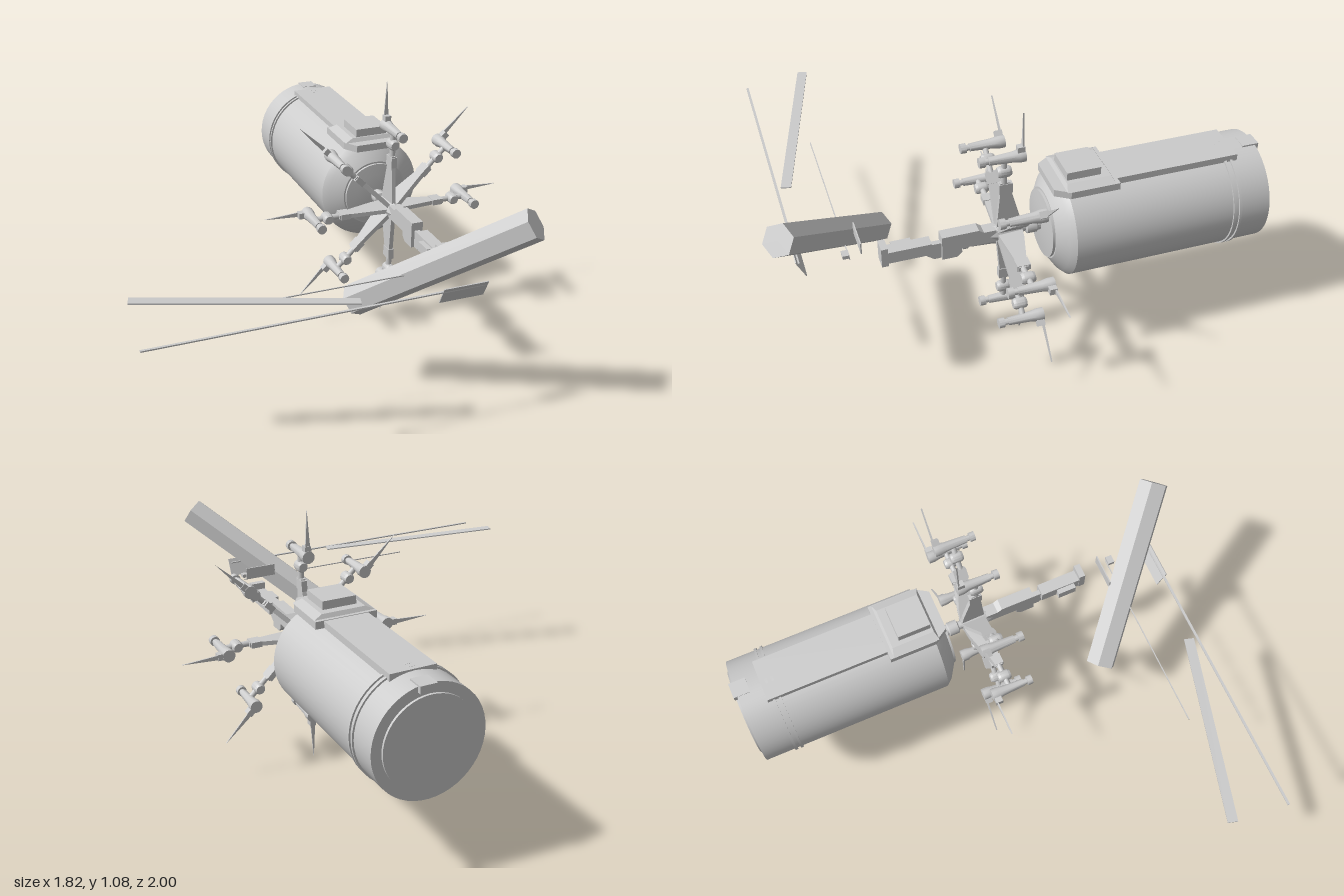
import * as THREE from 'three';
import { toCreasedNormals } from 'three/addons/utils/BufferGeometryUtils.js';

const grey = new THREE.MeshStandardMaterial({ color: 0xcccccc, side: THREE.DoubleSide });
const CX = 0.366, CY = 0.54; // main axis, running along z

function add(parent, name, geometry, x = 0, y = 0, z = 0) {
  const mesh = new THREE.Mesh(geometry, grey);
  mesh.name = name;
  mesh.position.set(x, y, z);
  parent.add(mesh);
  return mesh;
}

// Box given by its limits on each axis
function box(parent, name, [x0, x1], [y0, y1], [z0, z1]) {
  return add(parent, name, new THREE.BoxGeometry(x1 - x0, y1 - y0, z1 - z0),
    (x0 + x1) / 2, (y0 + y1) / 2, (z0 + z1) / 2);
}

// Solid of revolution about z from [z, radius] pairs, back to front
function turned(profile, sides, crease = 0.5) {
  const g = new THREE.LatheGeometry(profile.map(([z, r]) => new THREE.Vector2(r, z)), sides);
  return toCreasedNormals(g.rotateX(Math.PI / 2), crease);
}

// Flat outline extruded evenly about its plane
function slab(points, depth) {
  const shape = new THREE.Shape(points.map(([a, b]) => new THREE.Vector2(a, b)));
  return new THREE.ExtrudeGeometry(shape, { depth, bevelEnabled: false }).translate(0, 0, -depth / 2);
}

// Straight bar between two points
function bar(parent, name, a, b, width, height) {
  const p = new THREE.Vector3(...a), q = new THREE.Vector3(...b);
  const mesh = add(parent, name, new THREE.BoxGeometry(width, height, p.distanceTo(q)));
  mesh.position.copy(p).add(q).multiplyScalar(0.5);
  mesh.lookAt(q);
  return mesh;
}

function createTank() {
  const tank = new THREE.Group();
  tank.name = 'tank';
  add(tank, 'tankShell', turned([
    [-0.995, 0], [-0.995, 0.182], [-0.985, 0.182], [-0.985, 0.222], [-0.165, 0.222],
    [-0.14, 0.2], [-0.105, 0.145], [-0.105, 0.138], [-0.095, 0.138], [-0.09, 0.09], [-0.085, 0],
  ], 48), CX, CY);
  for (const z of [-0.855, -0.83]) {
    add(tank, 'tankBand', turned([
      [-0.005, 0.215], [-0.005, 0.229], [0.005, 0.229], [0.005, 0.215]], 48), CX, CY, z);
  }
  // Raised spine and stepped hatch on top
  box(tank, 'spine', [0.28, 0.462], [0.68, 0.768], [-0.88, -0.2]);
  box(tank, 'rearTab', [0.345, 0.412], [0.735, 0.763], [-1, -0.93]);
  const outline = [[0.243, 0.365], [0.497, 0.365], [0.497, 0.165], [0.46, 0.107], [0.28, 0.107], [0.243, 0.165]];
  add(tank, 'hatchBase', slab(outline, 0.03).rotateX(-Math.PI / 2).scale(1, 1, 1), 0, 0.755, 0)
    .geometry.scale(1, 1, 1);
  tank.children.at(-1).geometry.dispose();
  tank.children.at(-1).geometry = slab(outline.map(([x, z]) => [x, z]), 0.03).rotateX(-Math.PI / 2);
  const slope = new THREE.CylinderGeometry(Math.SQRT1_2, Math.SQRT1_2, 1, 4, 1).rotateY(Math.PI / 4).toNonIndexed();
  const p = slope.attributes.position;
  for (let i = 0; i < p.count; i++) {
    const top = p.getY(i) > 0;
    p.setXYZ(i, p.getX(i) * (top ? 0.18 : 0.25), p.getY(i) * 0.016, p.getZ(i) * (top ? 0.18 : 0.2));
  }
  slope.computeVertexNormals();
  add(tank, 'hatchSlope', slope, 0.37, 0.778, -0.25);
  box(tank, 'hatchLid', [0.3, 0.44], [0.77, 0.82], [-0.305, -0.166]);
  return tank;
}

// One radial arm, pointing along +x from the hub
function createArm() {
  const arm = new THREE.Group();
  arm.name = 'arm';
  add(arm, 'armBeam', slab([[0.015, -0.01], [0.07, 0], [0.19, 0.033], [0.24, 0.04],
    [0.24, 0.08], [0.19, 0.08], [0.07, 0.09], [0.015, 0.095]], 0.018).rotateX(Math.PI / 2).scale(1, 1, 1));
  box(arm, 'armCollar', [0.19, 0.235], [-0.012, 0.012], [0.03, 0.084]);
  add(arm, 'armLink', new THREE.CylinderGeometry(0.012, 0.012, 0.13, 10).rotateZ(Math.PI / 2), 0.29, 0, 0.062);
  add(arm, 'joint', turned([[0.035, 0], [0.035, 0.018], [0.045, 0.023], [0.08, 0.023],
    [0.09, 0.018], [0.09, 0]], 14), 0.29);
  add(arm, 'pod', turned([[-0.02, 0], [-0.02, 0.026], [0.005, 0.026], [0.03, 0.021], [0.125, 0.016],
    [0.125, 0.012], [0.14, 0.012], [0.14, 0.02], [0.163, 0.02], [0.163, 0]], 14), 0.35);
  box(arm, 'spikeSocket', [0.365, 0.395], [-0.013, 0.013], [-0.018, 0.012]);
  add(arm, 'spike', slab([[0.385, -0.01], [0.54, 0], [0.385, 0.01]], 0.006), 0, 0, -0.012);
  return arm;
}

function createBoom() {
  const boom = new THREE.Group();
  boom.name = 'boom';
  add(boom, 'neck', turned([[-0.095, 0], [-0.095, 0.024], [-0.075, 0.024], [-0.07, 0.03],
    [-0.03, 0.03], [-0.025, 0.018], [0.02, 0.018], [0.02, 0]], 16), CX, CY);
  add(boom, 'hub', turned([[-0.01, 0], [-0.01, 0.03], [0.09, 0.035], [0.13, 0.024], [0.13, 0]], 8), CX, CY);
  // Stepped side outlines, drawn as z against y
  const side = (name, pts, w) => add(boom, name, slab(pts, w).rotateY(-Math.PI / 2), CX);
  side('innerBoom', [[0.1, 0.515], [0.24, 0.515], [0.24, 0.495], [0.26, 0.477], [0.32, 0.477],
    [0.32, 0.585], [0.17, 0.585], [0.15, 0.57], [0.1, 0.57]], 0.05);
  side('elbow', [[0.31, 0.477], [0.35, 0.477], [0.38, 0.5], [0.38, 0.55], [0.31, 0.55]], 0.022);
  side('outerBoom', [[0.36, 0.515], [0.545, 0.515], [0.545, 0.567], [0.36, 0.567]], 0.052);
  box(boom, 'boomSideBox', [0.318, 0.345], [0.52, 0.56], [0.43, 0.51]);
  box(boom, 'boomEndPlate', [0.338, 0.4], [0.51, 0.595], [0.535, 0.562]);
  return boom;
}

// Slanted six-sided beam with one edge turned to the front
function createHexBeam() {
  const a = new THREE.Vector3(0.01, 0.39, 0.495), b = new THREE.Vector3(0.515, 0.835, 0.945);
  const g = new THREE.CylinderGeometry(0.065, 0.065, a.distanceTo(b), 6).toNonIndexed();
  g.computeVertexNormals();
  const d = b.clone().sub(a).normalize();
  const edge = new THREE.Vector3(0, 0, 1).addScaledVector(d, -d.z).normalize();
  const mesh = new THREE.Mesh(g, grey);
  mesh.name = 'hexBeam';
  mesh.quaternion.setFromRotationMatrix(new THREE.Matrix4().makeBasis(d.clone().cross(edge), d, edge));
  mesh.position.copy(a).add(b).multiplyScalar(0.5);
  return mesh;
}

// Loose thin rods and strips ahead of the boom
function createRods() {
  const rods = new THREE.Group();
  rods.name = 'rods';
  bar(rods, 'longRod', [-0.91, 0.585, 0.877], [0.37, 0.585, 0.872], 0.01, 0.005);
  bar(rods, 'middleRod', [-0.42, 0.568, 0.68], [0.38, 0.568, 0.68], 0.004, 0.004);
  bar(rods, 'flatStrip', [-0.89, 0.635, 0.623], [-0.105, 0.59, 0.837], 0.042, 0.005);
  box(rods, 'smallBlock', [0.35, 0.385], [0.575, 0.59], [0.68, 0.707]);
  box(rods, 'shortBlade', [0.25, 0.385], [0.585, 0.635], [0.632, 0.637]);
  const blade = box(rods, 'tiltedBlade', [0.2, 0.38], [0.525, 0.605], [0.863, 0.867]);
  blade.rotation.x = 0.45;
  return rods;
}

export function createModel() {
  const model = new THREE.Group();
  model.name = 'spacecraft';
  const arms = new THREE.Group();
  arms.name = 'arms';
  arms.position.set(CX, CY, 0);
  for (let i = 0; i < 8; i++) {
    const arm = createArm();
    arm.rotation.z = i * Math.PI / 4;
    arms.add(arm);
  }
  model.add(createTank(), arms, createBoom(), createHexBeam(), createRods());
  return model;
}
